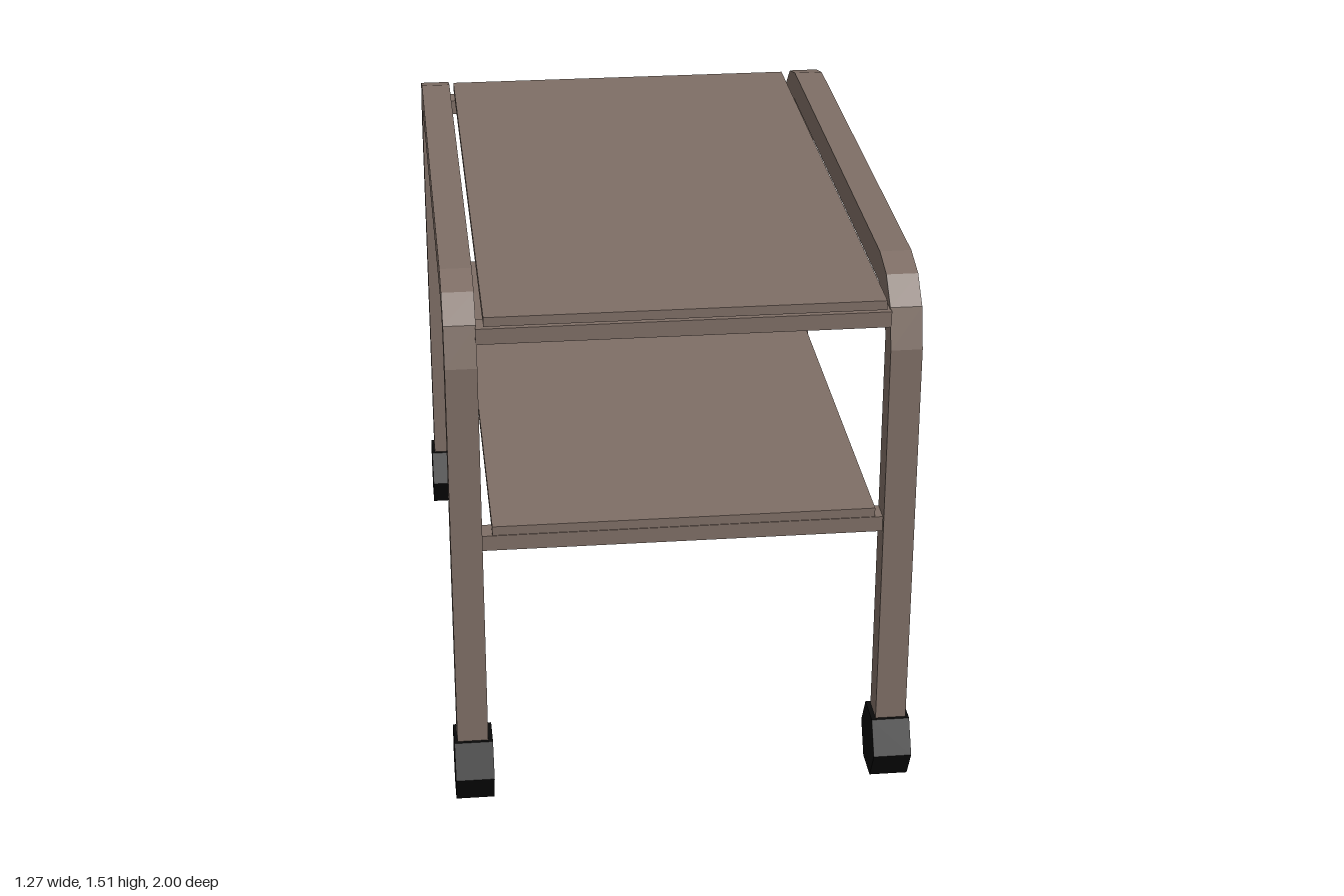
import * as THREE from 'three';

export function createModel() {
  const group = new THREE.Group();
  const brown = new THREE.MeshStandardMaterial({ color: 0x7f6f66, flatShading: true });
  brown.name = 'brownMetal';
  const black = new THREE.MeshStandardMaterial({ color: 0x0a0a0a, flatShading: true });
  black.name = 'blackRubber';

  const add = (name, geometry, material, x, y, z) => {
    const mesh = new THREE.Mesh(geometry, material);
    mesh.name = name;
    mesh.position.set(x, y, z);
    group.add(mesh);
    return mesh;
  };

  // Side hoop profile: half outlines as [z, y], mirrored to make the whole arch
  const outer = [[0.94, 0.12], [0.94, 1.31], [0.91, 1.42], [0.84, 1.485], [0.74, 1.51]];
  const inner = [[0.86, 0.12], [0.86, 1.31], [0.845, 1.37], [0.81, 1.41], [0.74, 1.425]];
  const arch = (half) => [...half, ...half.map(([z, y]) => [-z, y]).reverse()];
  const outline = [...arch(outer), ...arch(inner).reverse()];
  const hoop = new THREE.ExtrudeGeometry(
    new THREE.Shape(outline.map(([z, y]) => new THREE.Vector2(z, y))),
    { depth: 0.085, bevelEnabled: false }
  );
  hoop.translate(0, 0, -0.0425).rotateY(-Math.PI / 2);

  // Six-sided caster, one corner pointing forward
  const wheel = new THREE.CylinderGeometry(0.1, 0.1, 0.106, 6);
  wheel.rotateZ(Math.PI / 2).scale(1, 1, 1);
  wheel.scale(1, 0.09 / 0.0866, 1);

  for (const side of [1, -1]) {
    const label = side > 0 ? 'left' : 'right';
    add(label + 'Frame', hoop, brown, side * 0.585, 0, 0);
    for (const end of [1, -1]) {
      add(label + (end > 0 ? 'Front' : 'Back') + 'Wheel', wheel, black, side * 0.583, 0.09, end * 0.9);
    }
  }

  // Shelves, each above a front and a back crossbar
  const levels = [
    { name: 'upper', width: 1.054, bottom: 1.424, thick: 0.026, depth: 1.864, bar: 1.393 },
    { name: 'lower', width: 1.036, bottom: 0.811, thick: 0.026, depth: 1.85, bar: 0.788 },
  ];
  for (const { name, width, bottom, thick, depth, bar } of levels) {
    add(name + 'Shelf', new THREE.BoxGeometry(width, thick, depth), brown, 0.003, bottom + thick / 2, 0);
    for (const end of [1, -1]) {
      add(name + (end > 0 ? 'Front' : 'Back') + 'Crossbar',
        new THREE.BoxGeometry(1.09, 0.044, 0.065), brown, 0, bar, end * 0.893);
    }
  }
  return group;
}
